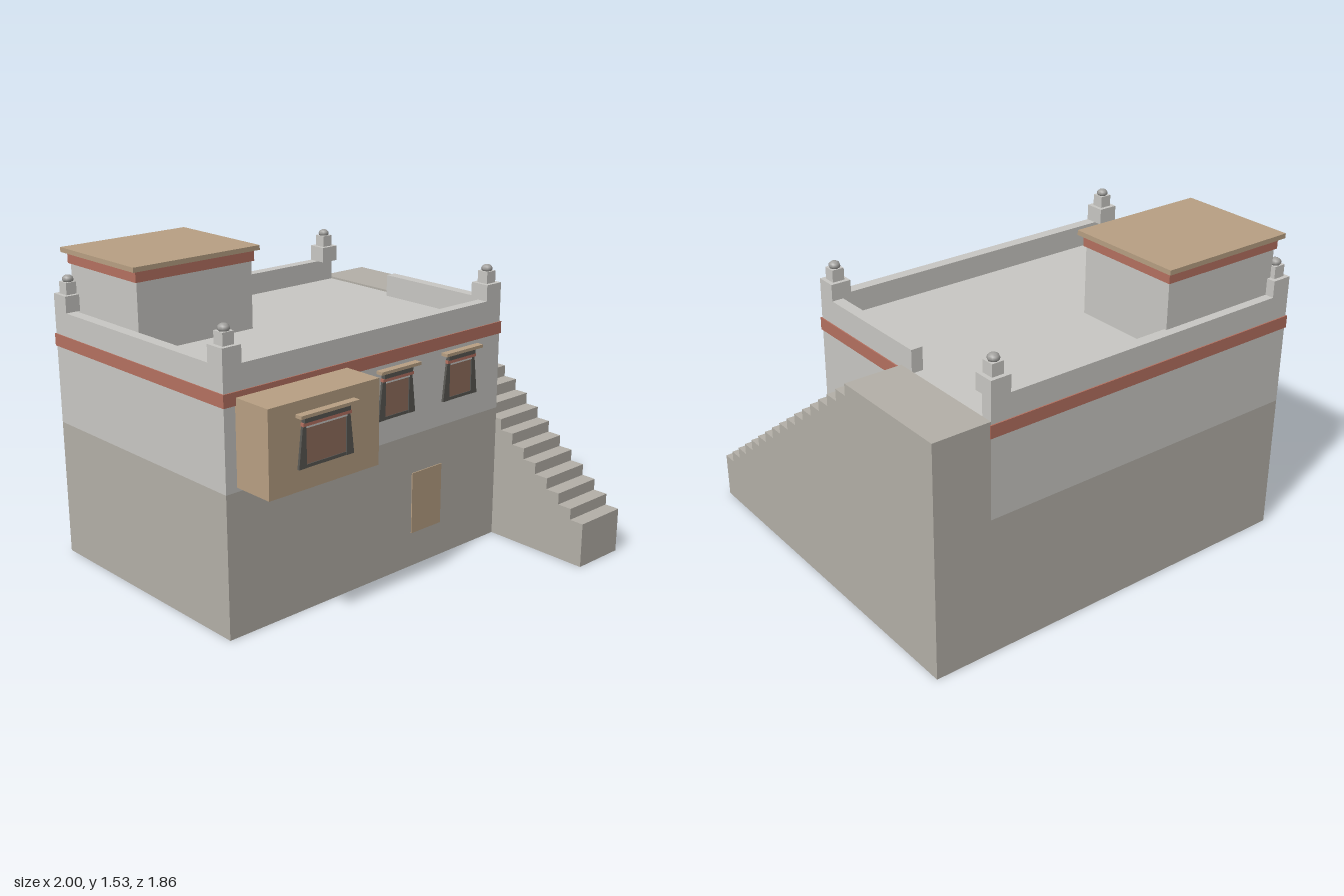
import * as THREE from 'three';

const mat = (name, color) => {
  const m = new THREE.MeshStandardMaterial({ color });
  m.name = name;
  return m;
};

export function createModel() {
  const plaster = mat('pale plaster', 0xc9c8c4);
  const stone = mat('stone', 0xb4b0a8);
  const red = mat('red band', 0xb57160);
  const wood = mat('tan wood', 0xb8a083);
  const dark = mat('dark frame', 0x585753);
  const pane = mat('brown pane', 0x926e5d);
  const finialGrey = mat('finial grey', 0xa3a29f);

  const model = new THREE.Group();
  model.name = 'flatRoofHouse';

  // box given by its limits on each axis
  const box = (name, m, x0, x1, y0, y1, z0, z1, parent = model) => {
    const mesh = new THREE.Mesh(new THREE.BoxGeometry(x1 - x0, y1 - y0, z1 - z0), m);
    mesh.position.set((x0 + x1) / 2, (y0 + y1) / 2, (z0 + z1) / 2);
    mesh.name = name;
    parent.add(mesh);
    return mesh;
  };
  const extrude = (name, m, points, depth, parent = model) => {
    const shape = new THREE.Shape(points.map(([x, y]) => new THREE.Vector2(x, y)));
    const mesh = new THREE.Mesh(new THREE.ExtrudeGeometry(shape, { depth, bevelEnabled: false }), m);
    mesh.name = name;
    parent.add(mesh);
    return mesh;
  };

  // main body
  const L = -0.995, R = 0.715, B = -0.92, F = 0.36, floor = 1.13, top = 1.24, t = 0.057;
  box('lowerWall', stone, L, R, 0, 0.68, B, F);
  box('upperWall', plaster, L, R, 0.68, floor, B, F);
  box('wallBand', red, L - 0.005, R + 0.006, 1.065, 1.125, B - 0.006, F + 0.006);

  // parapet, open on the right where the stairs arrive
  box('frontParapet', plaster, L, R, floor, top, F - t, F);
  box('backParapet', plaster, L, R, floor, top, B, B + t);
  box('leftParapet', plaster, L, L + t, floor, top, B + t, F - t);
  box('rightParapet', plaster, R - t, R, floor, top, -0.37, F - t);

  // corner posts with finials
  const p = 0.1;
  for (const x of [L + p / 2, R - p / 2]) {
    for (const z of [B + p / 2, F - p / 2]) {
      const post = new THREE.Group();
      post.name = 'cornerPost';
      post.position.set(x, 0, z);
      box('postBase', plaster, -p / 2, p / 2, top, 1.32, -p / 2, p / 2, post);
      box('postCap', plaster, -0.03, 0.03, 1.32, 1.378, -0.03, 0.03, post);
      const finial = new THREE.Mesh(new THREE.SphereGeometry(0.028, 8, 6), finialGrey);
      finial.scale.y = 0.75;
      finial.position.y = 1.389;
      finial.name = 'finial';
      post.add(finial);
      model.add(post);
    }
  }

  // rooftop room
  box('roofRoom', plaster, -0.92, -0.27, floor, 1.46, -0.875, -0.34);
  box('roofRoomBand', red, -0.93, -0.26, 1.46, 1.512, -0.885, -0.33);
  box('roofRoomCap', wood, -0.952, -0.24, 1.512, 1.535, -0.908, -0.312);

  // stairs: one side profile extruded across the width
  const steps = 17, run = 0.0763, rise = 0.0572;
  const profile = [[0.92, 0], [-0.93, 0]];
  for (let i = 0; i < steps; i++) {
    const y = 0.225 + i * rise;
    profile.push([-0.93 + i * run, y]);
    profile.push([i === steps - 1 ? 0.92 : -0.93 + (i + 1) * run, y]);
  }
  const stairs = extrude('stairs', stone, profile.reverse(), 1 - R);
  stairs.rotation.y = Math.PI / 2;
  stairs.position.x = R;

  // bay and door
  box('bay', wood, -0.935, -0.31, 0.7, 1.1, F, 0.57);
  box('door', wood, 0.117, 0.317, 0.175, 0.485, F, F + 0.005);

  // window: w is half the pane width
  const addWindow = (x, z, w) => {
    const g = new THREE.Group();
    g.name = 'window';
    g.position.set(x, 0, z);
    box('pane', pane, -w, w, 0.815, 0.977, 0, 0.006, g);
    box('sill', dark, -w - 0.01, w + 0.01, 0.8, 0.815, 0, 0.01, g);
    for (const s of [-1, 1]) {
      const pts = [[s * w, 0.8], [s * (w + 0.042), 0.8], [s * (w + 0.018), 1.0], [s * w, 1.0]];
      extrude('jamb', dark, s > 0 ? pts : pts.reverse(), 0.012, g);
    }
    box('paleStrip', plaster, -w, w, 0.977, 0.987, 0, 0.014, g);
    box('redLintel', red, -w - 0.022, w + 0.022, 0.987, 1.002, 0, 0.018, g);
    box('head', dark, -w - 0.016, w + 0.016, 1.002, 1.03, 0, 0.02, g);
    box('canopy', wood, -w - 0.05, w + 0.05, 1.03, 1.045, 0, 0.038, g);
    model.add(g);
  };
  addWindow(-0.625, 0.57, 0.114);
  addWindow(0.002, F, 0.076);
  addWindow(0.43, F, 0.076);

  return model;
}
